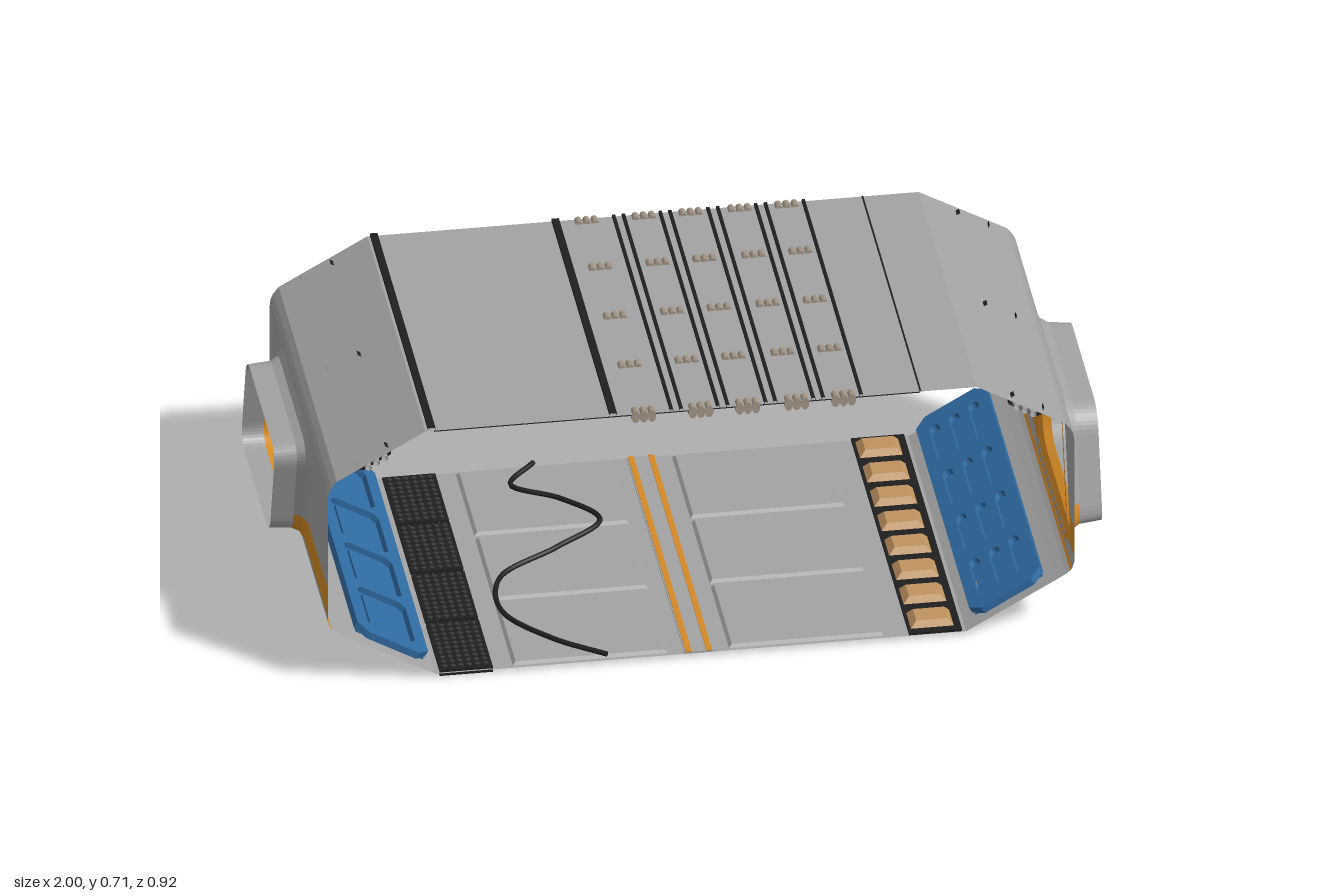
import * as THREE from 'three';
import { mergeGeometries } from 'three/addons/utils/BufferGeometryUtils.js';

const mat = (name, color) => new THREE.MeshStandardMaterial({ name, color, side: THREE.DoubleSide });
const L = 0.46; // half length of the section along z

export function createModel() {
  const grey = mat('panelGrey', 0xa2a2a2), orange = mat('stripeOrange', 0xd58a25), blue = mat('panelBlue', 0x2f6aa0);
  const black = mat('trimBlack', 0x1f1f1f), stud = mat('gratingGrey', 0x3a3a3a), tan = mat('lampTan', 0xc0935f);
  const beige = mat('conduitBeige', 0xa39585);
  const model = new THREE.Group();
  model.name = 'corridorSection';

  const add = (parent, name, geo, material, x = 0, y = 0, z = 0) => {
    const m = new THREE.Mesh(geo, material);
    m.name = name;
    m.position.set(x, y, z);
    parent.add(m);
    return m;
  };
  const build = (pos) => {
    const g = new THREE.BufferGeometry();
    g.setAttribute('position', new THREE.Float32BufferAttribute(pos, 3));
    g.computeVertexNormals();
    return g;
  };
  const quad = (out, a, b, c, d) => out.push(...a, ...b, ...c, ...a, ...c, ...d);
  // Open sheet: an x/y profile swept along z
  const ribbon = (pts, z0 = -L, z1 = L) => {
    const pos = [];
    for (let i = 0; i + 1 < pts.length; i++) {
      const [a, b] = [pts[i], pts[i + 1]];
      quad(pos, [...a, z0], [...a, z1], [...b, z1], [...b, z0]);
    }
    return build(pos);
  };
  const box = (w, h, d, x = 0, y = 0, z = 0) => new THREE.BoxGeometry(w, h, d).translate(x, y, z);
  const tube = (r, len) => new THREE.CylinderGeometry(r, r, len, 10, 1, true).rotateX(Math.PI / 2);

  // Slanted window outline as [z, y] points, grown outward by o
  const outline = (o) => {
    const yb = 0.212 - o, yt = 0.497 + o, r = 0.06 + o * 0.5;
    const zl = (y) => 0.365 - (y - 0.21) * 0.3 + 1.04 * o;
    const zr = (y) => -0.085 - (y - 0.21) * 0.3 - 1.04 * o;
    const c = [[zl(yb), yb], [zr(yb), yb], [zr(yt), yt], [zl(yt), yt]].map((p) => new THREE.Vector2(...p));
    const toward = (a, b) => b.clone().sub(a).setLength(r).add(a);
    const pts = [];
    c.forEach((p, i) => {
      const next = c[(i + 1) % 4], end = toward(p, next), start = toward(next, p);
      pts.push(...new THREE.QuadraticBezierCurve(toward(p, c[(i + 3) % 4]), p, end).getPoints(10));
      for (let k = 1; k < 14; k++) pts.push(end.clone().lerp(start, k / 14));
    });
    return pts.map((p) => [p.x, p.y]);
  };
  // Skin between window outlines at [x, offset]; low faces near the wall take the stripe colour
  const loft = (rings, isOrange) => {
    const parts = [[], []];
    for (let k = 0; k + 1 < rings.length; k++) {
      const [xa, oa] = rings[k], [xb, ob] = rings[k + 1], A = outline(oa), B = outline(ob);
      A.forEach((p, i) => {
        const j = (i + 1) % A.length;
        quad(parts[isOrange(xb, (p[1] + A[j][1]) / 2) ? 1 : 0], [xa, p[1], p[0]], [xb, B[i][1], B[i][0]],
          [xb, B[j][1], B[j][0]], [xa, A[j][1], A[j][0]]);
      });
    }
    return parts.map(build);
  };

  // Wall edge of the window opening at height y, on either side
  const rim = outline(0.03);
  const mid = (y) => 0.14 - (y - 0.21) * 0.3;
  const edgeZ = (y, s) => {
    const side = rim.filter((p) => (p[0] - mid(p[1])) * s > 0.15).sort((a, b) => a[1] - b[1]);
    const i = Math.max(1, side.findIndex((p) => p[1] >= y - 1e-6));
    const [a, b] = [side[i - 1], side[i]];
    return b[1] - a[1] < 1e-6 ? b[0] : a[0] + (b[0] - a[0]) * THREE.MathUtils.clamp((y - a[1]) / (b[1] - a[1]), 0, 1);
  };
  const wallRows = (y0, y1) => {
    const pos = [], n = 20;
    for (let i = 0; i < n; i++) {
      const a = y0 + (y1 - y0) * i / n, b = y0 + (y1 - y0) * (i + 1) / n;
      quad(pos, [0.915, a, edgeZ(a, 1)], [0.915, a, L], [0.915, b, L], [0.915, b, edgeZ(b, 1)]);
      quad(pos, [0.915, a, -L], [0.915, a, edgeZ(a, -1)], [0.915, b, edgeZ(b, -1)], [0.915, b, -L]);
    }
    return build(pos);
  };

  const rectPath = (w, d, cx, cz, c) => {
    const p = [[-w, -d + c], [-w + c, -d], [w - c, -d], [w, -d + c], [w, d - c], [w - c, d], [-w + c, d], [-w, d - c]];
    return p.map(([x, z]) => new THREE.Vector2(cx + x, cz + z));
  };

  // One side: wall, window, slopes, pipes and lower blue panel
  const makeSide = (name, louvred) => {
    const g = new THREE.Group();
    g.name = name;
    model.add(g);
    add(g, 'lowerSlope', ribbon([[0.65, 0.01], [0.87, 0.135], [0.895, 0.15], [0.905, 0.158]]), grey);
    add(g, 'pinStripe', ribbon([[0.905, 0.158], [0.91, 0.165]]), orange);
    add(g, 'wallFoot', ribbon([[0.91, 0.165], [0.915, 0.182]]), grey);
    add(g, 'wallLow', wallRows(0.182, 0.195), grey);
    add(g, 'wallStripe', wallRows(0.195, 0.275), orange);
    add(g, 'wallHigh', wallRows(0.275, 0.527), grey);
    add(g, 'upperSlope', ribbon([[0.915, 0.527], [0.913, 0.545], [0.906, 0.56], [0.893, 0.577], [0.676, 0.7]]), grey);
    const [sleeve, sleeveStripe] = loft([[0.915, 0.03], [0.925, 0.013], [0.945, 0.004], [1, 0]], (x, y) => x < 0.95 && y < 0.275);
    add(g, 'windowSleeve', sleeve, grey);
    add(g, 'windowSleeveStripe', sleeveStripe, orange);
    add(g, 'windowTrim', loft([[0.909, 0.031], [0.909, 0.019]], () => true)[1], orange);

    // Pipes under the upper slope, held by hooked clips
    for (const x of [0.775, 0.795, 0.815]) add(g, 'pipe', tube(0.008, 2 * L), grey, x, 0.633 - (x - 0.8) * 0.57 - 0.015);
    for (const z of [-0.43, 0, 0.43]) {
      add(g, 'pipeClip', ribbon([[0.772, 0.655], [0.758, 0.648], [0.757, 0.632], [0.825, 0.592], [0.839, 0.597], [0.844, 0.615]],
        z - 0.011, z + 0.011), black);
    }

    // Blue panel lying on the lower slope
    const slope = new THREE.Group();
    slope.name = 'slopePanel';
    slope.position.set(0.765, 0.075, 0);
    slope.rotation.z = Math.PI / 6;
    g.add(slope);
    const shape = new THREE.Shape(rectPath(0.1, 0.45, 0, 0, 0.03));
    for (const z of [-0.315, -0.105, 0.105, 0.315]) {
      if (louvred) {
        for (const x of [-0.055, 0, 0.055]) shape.holes.push(new THREE.Path(rectPath(0.014, 0.08, x, z, 0.01)));
      } else {
        shape.holes.push(new THREE.Path(rectPath(0.068, 0.092, 0, z, 0.015)));
        add(slope, 'recessPad', box(0.1, 0.006, 0.15), blue, 0, 0.018, z);
      }
    }
    const frame = new THREE.ExtrudeGeometry(shape, { depth: 0.018, bevelEnabled: false }).rotateX(Math.PI / 2);
    add(slope, 'panelFrame', frame, blue, 0, 0.031, 0);
    add(slope, 'panelBase', box(0.19, 0.006, 0.86), blue, 0, 0.012, 0);
    for (const z of [0, 0.32]) {
      add(g, 'footLamp', box(0.026, 0.016, 0.04), black, 0.69, 0.043, z);
      add(g, 'footLampLens', box(0.018, 0.004, 0.03), tan, 0.69, 0.052, z);
    }
    return g;
  };
  makeSide('leftSide', true);
  makeSide('rightSide', false).rotation.y = Math.PI;

  // Roof with black lips above and dark lining below
  add(model, 'roof', ribbon([[-0.676, 0.7], [0.676, 0.7]]), grey);
  add(model, 'ceilingLining', ribbon([[-0.655, 0.697], [0.537, 0.697]]), black);
  const lip = (x, w, h) => add(model, 'roofLip', ribbon([[x - w, 0.697], [x - w, h], [x + w, h], [x + w, 0.697]]), black);
  for (const x of [-0.66, -0.215]) lip(x, 0.009, 0.708);
  for (const x of [-0.072, -0.048, 0.042, 0.066, 0.159, 0.183, 0.276, 0.3, 0.393]) lip(x, 0.004, 0.706);
  lip(0.538, 0.002, 0.702);

  // Conduit bundles along the ceiling with clips
  for (const x of [-0.14, 0, 0.115, 0.235, 0.35]) {
    for (const dx of [-0.02, 0, 0.02]) {
      add(model, 'conduit', tube(0.0085, 2 * L), beige, x + dx, 0.686);
      const clips = [-0.448, -0.23, 0, 0.23, 0.448].map((z) =>
        new THREE.CylinderGeometry(0.0105, 0.0105, 0.024, 10).rotateX(Math.PI / 2).scale(1, 1.6, 1).translate(0, 0, z));
      add(model, 'conduitClips', mergeGeometries(clips), beige, x + dx, 0.692);
    }
  }

  // Floor with raised panels and a central striped rail
  add(model, 'floor', ribbon([[-0.65, 0.01], [0.65, 0.01]]), grey);
  for (const x of [-0.27, 0.26]) {
    for (const z of [-0.305, 0, 0.305]) {
      const p = new THREE.CylinderGeometry(0.96 * Math.SQRT1_2, Math.SQRT1_2, 1, 4).rotateY(Math.PI / 4).toNonIndexed();
      p.scale(0.38, 0.008, 0.29).computeVertexNormals();
      add(model, 'floorPanel', p, grey, x, 0.014, z);
    }
  }
  add(model, 'floorRail', box(0.07, 0.004, 2 * L), grey, -0.005, 0.012);
  for (const x of [-0.03, 0.02]) add(model, 'railStripe', box(0.014, 0.004, 2 * L), orange, x, 0.0145);

  // Studded grating in four sections
  for (const z of [-0.345, -0.115, 0.115, 0.345]) {
    add(model, 'grating', box(0.13, 0.016, 0.22), black, -0.575, 0.008, z);
    const studs = [];
    for (let i = 0; i < 6; i++) {
      for (let j = 0; j < 10; j++) {
        studs.push(box(0.01, 0.004, 0.01).rotateY(Math.PI / 4).translate(-0.05 + i * 0.02, 0, -0.095 + j * 0.021));
      }
    }
    add(model, 'gratingStuds', mergeGeometries(studs), stud, -0.575, 0.017, z);
  }

  // Lamp rail on the other side
  add(model, 'lampRail', box(0.13, 0.006, 2 * L), black, 0.575, 0.014);
  for (let i = 0; i < 8; i++) {
    const lamp = new THREE.CylinderGeometry(0.72 * Math.SQRT1_2, Math.SQRT1_2, 1, 4).rotateY(Math.PI / 4).toNonIndexed();
    lamp.scale(0.105, 0.016, 0.075).computeVertexNormals();
    add(model, 'floorLamp', lamp, tan, 0.57, 0.025, -0.4025 + i * 0.115);
  }

  // Loose cable across the floor
  const path = [[-0.23, 0.455], [-0.35, 0.36], [-0.45, 0.22], [-0.43, 0.06], [-0.27, -0.06], [-0.15, -0.17], [-0.23, -0.28], [-0.34, -0.36], [-0.27, -0.455]];
  const curve = new THREE.CatmullRomCurve3(path.map(([x, z]) => new THREE.Vector3(x, 0.024, z)));
  add(model, 'cable', new THREE.TubeGeometry(curve, 80, 0.0065, 8), black);
  return model;
}
